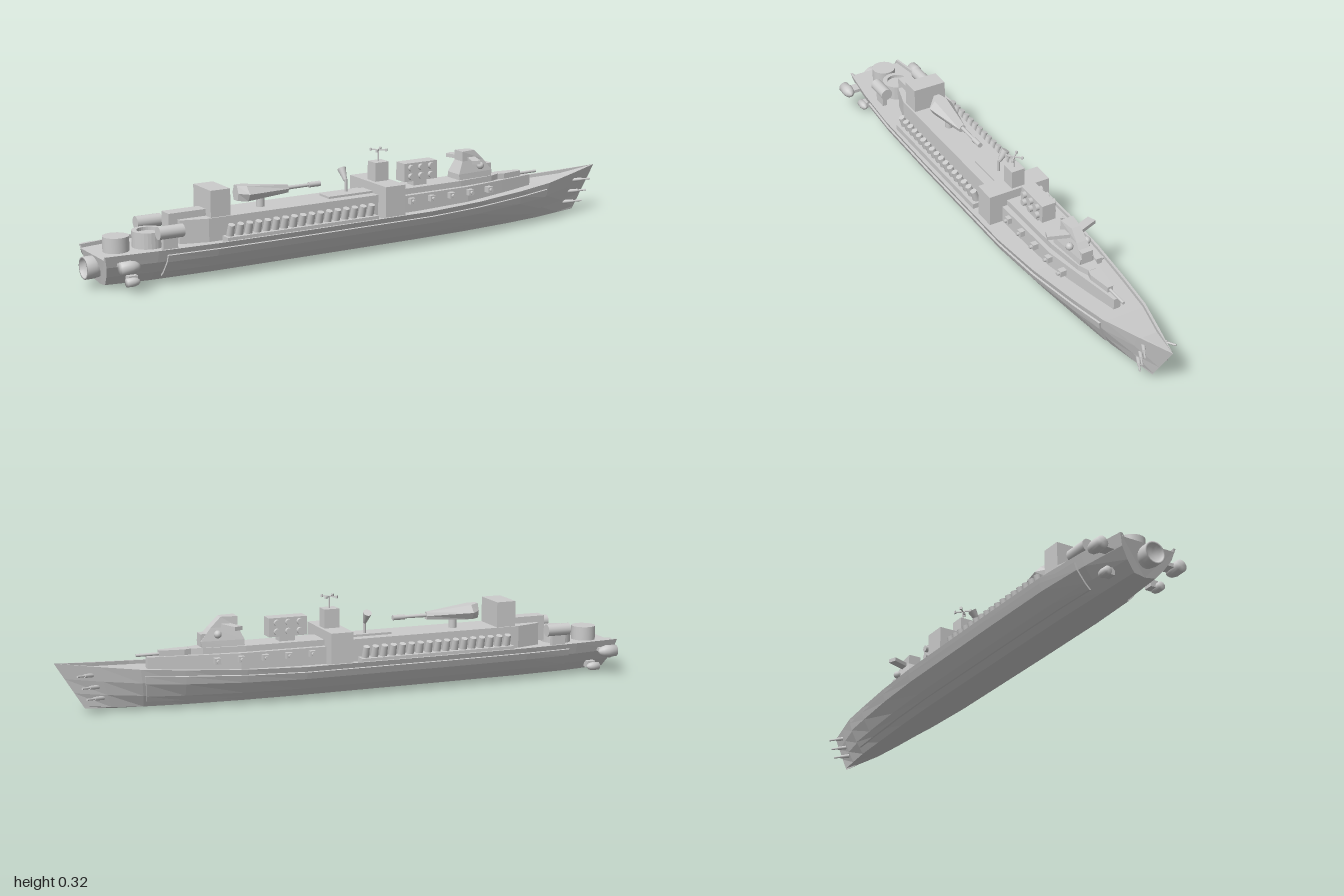
import * as THREE from 'three';

const mat = new THREE.MeshStandardMaterial({ color: 0xcccccc, flatShading: true, side: THREE.DoubleSide });
const round = new THREE.MeshStandardMaterial({ color: 0xcccccc });

// Hull stations: top x, bottom x, half beam, rim height, keel height
const stations = [
  [-0.97, -0.945, 0.1, 0.118, 0.008], [-0.8, -0.8, 0.122, 0.12, 0.004], [-0.6, -0.6, 0.136, 0.121, 0.003],
  [-0.3, -0.3, 0.139, 0.121, 0.003], [0.2, 0.2, 0.138, 0.122, 0.003], [0.4, 0.4, 0.125, 0.127, 0.003],
  [0.6, 0.59, 0.1, 0.136, 0.004], [0.74, 0.72, 0.078, 0.145, 0.006], [0.87, 0.82, 0.04, 0.157, 0.01],
  [1, 0.905, 0, 0.17, 0.016],
];
// Side curve: fraction of beam, fraction of height
const curve = [[0.38, 0.05], [0.66, 0.34], [0.89, 0.66], [1, 1]];

function stationAt(x) {
  let i = 0;
  while (i < stations.length - 2 && stations[i + 1][0] < x) i++;
  const a = stations[i], b = stations[i + 1], t = (x - a[0]) / (b[0] - a[0]);
  return a.map((v, k) => v + (b[k] - v) * t);
}

function sidePoint([xt, xb, w, top, keel], [fw, fy]) {
  return [xb + (xt - xb) * fy, keel + (top - keel) * fy, w * fw];
}

function hullRing(s) {
  const [xt, , w, top, keel] = s;
  const inner = Math.max(w - 0.008, 0);
  const drop = Math.min(0.012, w);
  const half = [...curve.map(c => sidePoint(s, c)), [xt, top, inner], [xt, top - drop, inner]];
  return [[s[1], keel, 0], ...half, ...half.map(([x, y, z]) => [x, y, -z]).reverse()];
}

// Skin through closed rings, with end caps
function loft(rings) {
  const pos = [], n = rings[0].length;
  const tri = (...p) => p.forEach(v => pos.push(...v));
  for (let i = 0; i < rings.length - 1; i++) {
    for (let j = 0; j < n; j++) {
      const a = rings[i][j], b = rings[i][(j + 1) % n], c = rings[i + 1][j], d = rings[i + 1][(j + 1) % n];
      tri(a, c, b);
      tri(c, d, b);
    }
  }
  const first = rings[0], last = rings[rings.length - 1];
  for (let j = 1; j < n - 1; j++) {
    tri(first[0], first[j], first[j + 1]);
    tri(last[0], last[j + 1], last[j]);
  }
  const g = new THREE.BufferGeometry();
  g.setAttribute('position', new THREE.Float32BufferAttribute(pos, 3));
  g.computeVertexNormals();
  return g;
}

export function createModel() {
  const ship = new THREE.Group();
  ship.name = 'warship';

  const add = (name, geo, x = 0, y = 0, z = 0, m = mat) => {
    const mesh = new THREE.Mesh(geo, m);
    mesh.name = name;
    mesh.position.set(x, y, z);
    ship.add(mesh);
    return mesh;
  };
  // Box given by its extents
  const box = (name, x0, x1, y0, y1, z0, z1) => add(name, new THREE.BoxGeometry(x1 - x0, y1 - y0, z1 - z0),
    (x0 + x1) / 2, (y0 + y1) / 2, (z0 + z1) / 2);
  // Upright prism from half a plan outline of [x, z]
  const plan = (name, half, y0, y1) => {
    const pts = [...half, ...half.map(([x, z]) => [x, -z]).reverse()].map(p => new THREE.Vector2(...p));
    const g = new THREE.ExtrudeGeometry(new THREE.Shape(pts), { depth: y1 - y0, bevelEnabled: false });
    return add(name, g.rotateX(-Math.PI / 2), 0, y0, 0);
  };
  const drum = (name, x, z, r, y0, y1) => add(name, new THREE.CylinderGeometry(r, r, y1 - y0, 24), x, (y0 + y1) / 2, z, round);
  // Cylinder lying along x
  const rod = (name, x0, x1, y, z, r0, r1 = r0) => add(name,
    new THREE.CylinderGeometry(r1, r0, x1 - x0, 16).rotateZ(-Math.PI / 2), (x0 + x1) / 2, y, z, round);
  // Turned body along x from [radius, x] points
  const turned = (name, pts, x, y, z) => add(name,
    new THREE.LatheGeometry(pts.map(p => new THREE.Vector2(...p)), 20).rotateZ(-Math.PI / 2), x, y, z, round);

  add('hull', loft(stations.map(hullRing)));

  // Raised armour belts following the sides
  const beltX = [-0.77, -0.6, -0.3, 0.2, 0.4, 0.6, 0.73];
  for (const s of [1, -1]) {
    const rings = beltX.map(x => {
      const st = stationAt(x);
      const line = [[0.53, 0.2], [0.66, 0.34], [0.89, 0.66], [0.96, 0.86]].map(c => sidePoint(st, c));
      const ring = [...line.map(([px, y, z]) => [px, y - 0.002, z + 0.006]), ...line.map(([px, y, z]) => [px, y, z - 0.006]).reverse()];
      return ring.map(([px, y, z]) => [px, y, z * s]);
    });
    add('armourBelt', loft(s > 0 ? rings : rings.map(r => r.slice().reverse())));
  }

  // Central superstructure
  plan('aftDeckhouse', [[-0.69, 0.04], [-0.6, 0.066], [0.05, 0.066]], 0.105, 0.185);
  plan('foreDeckhouse', [[0.1, 0.066], [0.4, 0.06], [0.56, 0.035], [0.7, 0.012]], 0.11, 0.168);
  plan('foreUpperDeck', [[0.1, 0.048], [0.38, 0.045], [0.52, 0.03], [0.56, 0.015]], 0.165, 0.188);
  box('aftPlatform', -0.72, -0.52, 0.12, 0.207, -0.025, 0.025);
  box('aftTower', -0.59, -0.52, 0.18, 0.272, -0.06, 0.06);
  box('midBlock', 0.03, 0.108, 0.105, 0.22, -0.113, 0.113);

  // Mast with crossed aerials
  box('mastBase', 0.045, 0.098, 0.22, 0.284, -0.024, 0.024);
  drum('mast', 0.072, 0, 0.0025, 0.28, 0.324);
  for (const a of [Math.PI / 4, -Math.PI / 4]) {
    const arm = add('aerial', new THREE.BoxGeometry(0.054, 0.004, 0.004), 0.072, 0.323, 0);
    arm.rotation.y = a;
    for (const e of [-0.027, 0.027]) {
      add('aerialTip', new THREE.BoxGeometry(0.006, 0.009, 0.008), 0.072 + e * Math.cos(a), 0.323, -e * Math.sin(a)).rotation.y = a;
    }
  }

  // Stern fittings
  drum('sternTank', -0.89, 0, 0.042, 0.1, 0.155);
  add('sternRingTank', new THREE.LatheGeometry([[0.052, 0], [0.052, 0.055], [0.036, 0.055], [0.036, 0.044], [0, 0.044]]
    .map(p => new THREE.Vector2(...p)), 28), -0.78, 0.105, 0);
  turned('sternThruster', [[0, -0.012], [0.026, -0.012], [0.03, -0.03], [0.036, -0.03], [0.036, 0], [0.03, 0.03], [0, 0.03]].map(([r, x]) => [r, x]),
    -0.97, 0.066, 0);
  for (const s of [1, -1]) {
    const bullet = k => [[0, 0], [0.02, 0], [0.021, 0.035], [0.017, 0.052], [0.009, 0.063], [0, 0.067]].map(([r, x]) => [r * k, x * k]);
    turned('sidePod', bullet(1), -0.94, 0.088, 0.142 * s);
    box('sidePodStrut', -0.93, -0.89, 0.082, 0.094, s > 0 ? 0.09 : -0.13, s > 0 ? 0.13 : -0.09);
    turned('lowerPod', bullet(0.68), -0.9, 0.027, 0.096 * s);
    box('lowerPodStrut', -0.89, -0.86, 0.022, 0.045, s > 0 ? 0.065 : -0.092, s > 0 ? 0.092 : -0.065);
    rod('deckPod', -0.785, -0.7, 0.165, 0.082 * s, 0.021);
    box('deckPodStand', -0.77, -0.72, 0.105, 0.155, 0.082 * s - 0.008, 0.082 * s + 0.008);

    // Row of launch tubes in a tray
    box('launcherTray', -0.56, 0, 0.1, 0.128, 0.098 * s - 0.019, 0.098 * s + 0.019);
    for (let i = 0; i < 17; i++) {
      const tube = add('launchTube', new THREE.CylinderGeometry(0.011, 0.013, 0.05, 12), -0.54 + i * 0.0325, 0.142, 0.097 * s, round);
      tube.rotation.x = 0.3 * s;
    }

    // Deck mounts beside the fore deckhouse
    for (let i = 0; i < 5; i++) {
      const x = 0.16 + i * 0.081, z = (i < 3 ? 0.07 : 0.066) * s;
      add('deckMount', new THREE.BoxGeometry(0.02, 0.02, 0.022), x, 0.15, z);
      add('deckMountBarrel', new THREE.CylinderGeometry(0.006, 0.006, 0.016, 10).rotateX(Math.PI / 2), x, 0.15, z + 0.012 * s, round);
    }

    // Bow guns
    for (const [x, y, z] of [[0.895, 0.13, 0.032], [0.88, 0.09, 0.03], [0.865, 0.052, 0.026]]) {
      const gun = new THREE.Group();
      gun.name = 'bowGun';
      const sleeve = new THREE.Mesh(new THREE.CylinderGeometry(0.006, 0.007, 0.04, 10).rotateZ(-Math.PI / 2), round);
      const barrel = new THREE.Mesh(new THREE.CylinderGeometry(0.0035, 0.0035, 0.05, 8).rotateZ(-Math.PI / 2), round);
      barrel.position.x = 0.025;
      gun.add(sleeve, barrel);
      gun.position.set(x, y, z * s);
      gun.rotation.set(0, -0.5 * s, 0.08);
      ship.add(gun);
    }
  }

  // Main gun: faceted wedge housing with a long barrel
  const wedge = [[-0.47, 0.02, 0.215, 0.265], [-0.44, 0.044, 0.214, 0.262], [-0.28, 0.012, 0.22, 0.245]];
  add('mainGunHousing', loft(wedge.map(([x, w, y0, y1]) => [[x, y0, -w * 0.7], [x, y0, w * 0.7], [x, (y0 + y1) / 2, w],
    [x, y1, w * 0.5], [x, y1, -w * 0.5], [x, (y0 + y1) / 2, -w]])));
  drum('mainGunPost', -0.38, 0, 0.014, 0.18, 0.225);
  rod('mainGunBarrel', -0.3, -0.17, 0.234, 0, 0.007, 0.005);
  rod('mainGunMuzzle', -0.2, -0.157, 0.234, 0, 0.009);

  // Searchlight on a small platform
  box('lightPlatform', -0.14, 0.03, 0.18, 0.192, -0.03, 0.03);
  drum('lightPost', -0.05, -0.01, 0.005, 0.19, 0.235);
  const lamp = add('searchlight', new THREE.CylinderGeometry(0.015, 0.006, 0.045, 16), -0.05, 0.247, -0.025, round);
  lamp.rotation.x = -0.6;

  // Missile block with tube mouths on both sides
  box('missileBlockBase', 0.2, 0.255, 0.18, 0.21, -0.02, 0.02);
  box('missileBlock', 0.16, 0.293, 0.205, 0.268, -0.025, 0.025);
  for (const s of [1, -1]) for (let i = 0; i < 3; i++) for (let j = 0; j < 2; j++) {
    add('missileTube', new THREE.CylinderGeometry(0.011, 0.011, 0.014, 14).rotateX(Math.PI / 2),
      0.186 + i * 0.04, 0.222 + j * 0.03, 0.03 * s, round);
  }

  // Bridge: tapered tower with swept wings
  const level = (x0, x1, y, w0, w1) => [[x0, y, -w0], [x0, y, w0], [x1, y, w1], [x1, y, -w1]];
  // Levels run upward, so the corner order is reversed to face outward
  add('bridge', loft([level(0.38, 0.52, 0.18, 0.036, 0.026), level(0.38, 0.525, 0.208, 0.034, 0.024),
    level(0.4, 0.49, 0.25, 0.024, 0.018), level(0.4, 0.455, 0.284, 0.023, 0.016)].map(r => r.reverse())).scale(1, 1, -1));
  box('bridgeFrontHouse', 0.49, 0.525, 0.19, 0.232, -0.02, 0.02);
  for (const s of [1, -1]) {
    const wing = add('bridgeWing', new THREE.BoxGeometry(0.03, 0.013, 0.085), 0.43, 0.255, 0.044 * s);
    wing.rotation.y = -0.35 * s;
    add('bridgeLamp', new THREE.SphereGeometry(0.013, 12, 8), 0.47, 0.23, 0.032 * s, round);
  }

  // Fore gun
  plan('foreGunHousing', [[0.54, 0.012], [0.58, 0.022], [0.66, 0.01]], 0.16, 0.187);
  rod('foreGunBarrel', 0.63, 0.735, 0.175, 0, 0.005);
  return ship;
}
